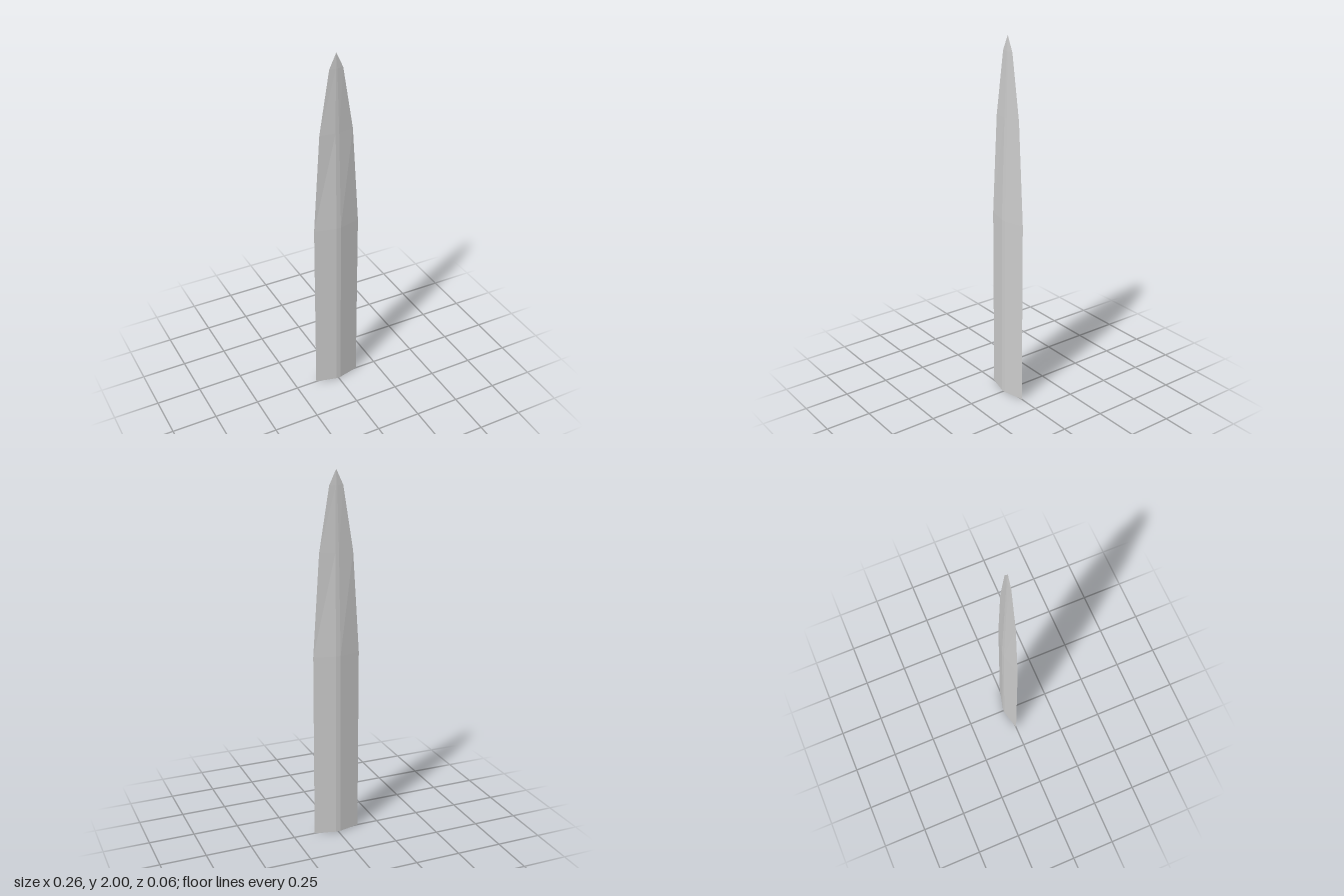
import * as THREE from 'three';

// Blade stations from base to point: height, half width, half thickness, half width of the central flat
const STATIONS = [
  [0, 0.13, 0.029, 0.013],
  [1.03, 0.13, 0.029, 0.013],
  [1.58, 0.094, 0.013, 0.01],
  [1.92, 0.038, 0.004, 0.004],
  [2, 0, 0, 0],
];

// Six-sided section: two sharp edges and a narrow flat on each face
const section = ([y, w, t, f]) => [
  [w, y, 0], [f, y, t], [-f, y, t], [-w, y, 0], [-f, y, -t], [f, y, -t],
];

function loft(rings) {
  const positions = [];
  for (let r = 0; r < rings.length - 1; r++) {
    const low = rings[r], high = rings[r + 1];
    const isTip = r === rings.length - 2;
    for (let i = 0; i < low.length; i++) {
      const j = (i + 1) % low.length;
      positions.push(...low[j], ...low[i], ...high[i]);
      if (!isTip) positions.push(...low[j], ...high[i], ...high[j]);
    }
  }
  const geometry = new THREE.BufferGeometry();
  geometry.setAttribute('position', new THREE.Float32BufferAttribute(positions, 3));
  geometry.computeVertexNormals();
  return geometry;
}

export function createModel() {
  const group = new THREE.Group();
  group.name = 'bladeModel';

  // Hollow blade, open at the base
  const material = new THREE.MeshStandardMaterial({
    color: 0xcccccc, flatShading: true, side: THREE.DoubleSide,
  });
  const blade = new THREE.Mesh(loft(STATIONS.map(section)), material);
  blade.name = 'blade';
  group.add(blade);
  return group;
}
